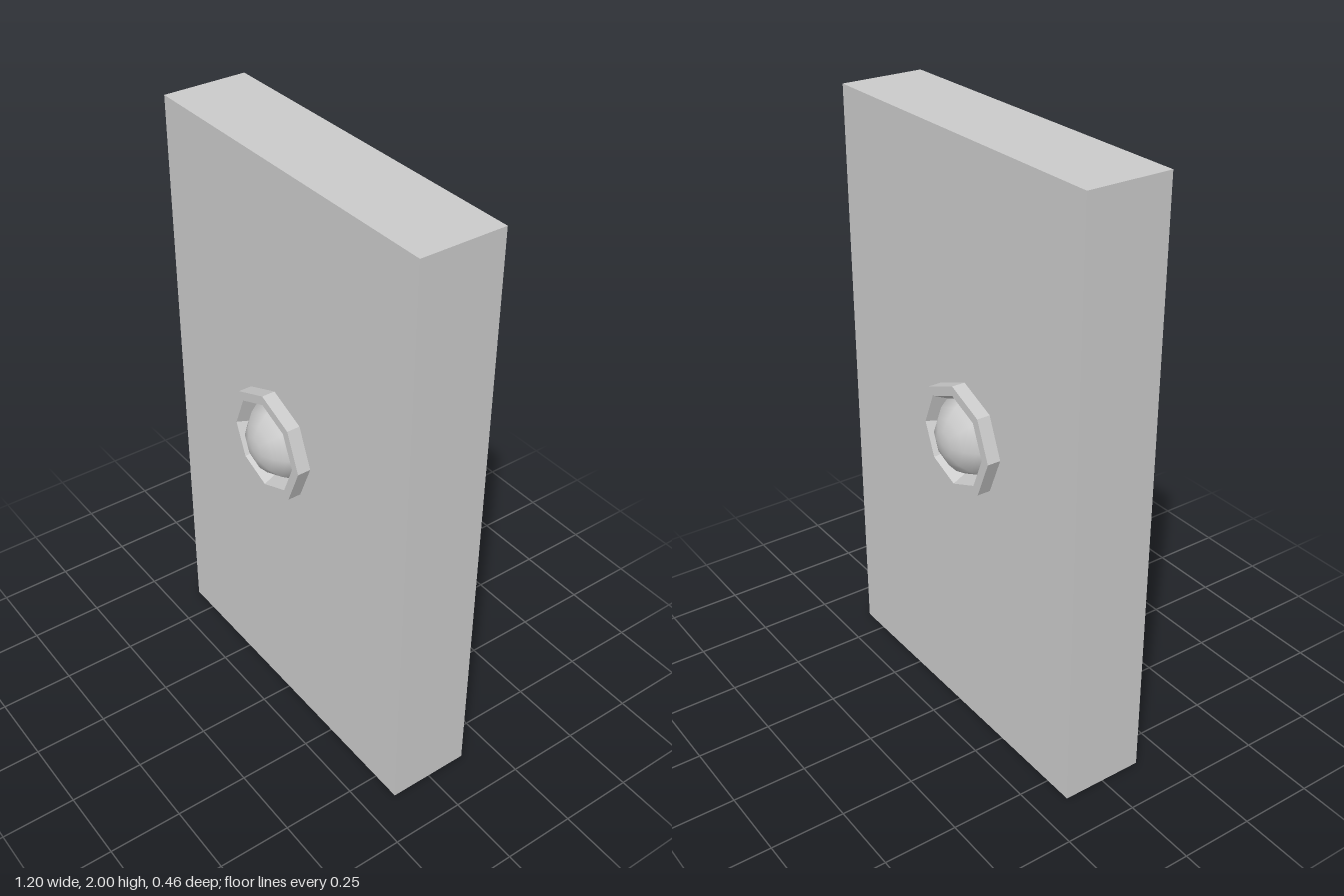
import * as THREE from 'three';

const HALF_DEPTH = 0.142;

function createKnob(name) {
  const knob = new THREE.Group();
  knob.name = name;

  // Octagonal collar with a sloping inner wall
  const profile = [[0.185, 0], [0.185, 0.045], [0.153, 0.045], [0.13, 0]]
    .map(([r, h]) => new THREE.Vector2(r, h));
  const collar = new THREE.Mesh(
    new THREE.LatheGeometry(profile, 8).rotateX(Math.PI / 2),
    new THREE.MeshStandardMaterial({ color: 0xcccccc, flatShading: true })
  );
  collar.name = 'collar';

  // Smooth shallow dome, a cap of a sphere sunk into the slab
  const radius = 0.145;
  const dome = new THREE.Mesh(
    new THREE.SphereGeometry(radius, 8, 4, 0, Math.PI * 2, 0, 1.16).rotateX(Math.PI / 2),
    new THREE.MeshStandardMaterial({ color: 0xcccccc })
  );
  dome.name = 'dome';
  dome.position.z = 0.086 - radius;

  knob.add(collar, dome);
  return knob;
}

export function createModel() {
  const model = new THREE.Group();
  model.name = 'slabWithKnobs';

  // Upright slab
  const slab = new THREE.Mesh(
    new THREE.BoxGeometry(1.2, 2, HALF_DEPTH * 2),
    new THREE.MeshStandardMaterial({ color: 0xcccccc, flatShading: true })
  );
  slab.name = 'slab';
  slab.position.y = 1;
  model.add(slab);

  // One knob on each face
  for (const side of [1, -1]) {
    const knob = createKnob(side > 0 ? 'frontKnob' : 'backKnob');
    knob.position.set(-0.05, 1.055, side * HALF_DEPTH);
    if (side < 0) knob.rotation.y = Math.PI;
    model.add(knob);
  }
  return model;
}
